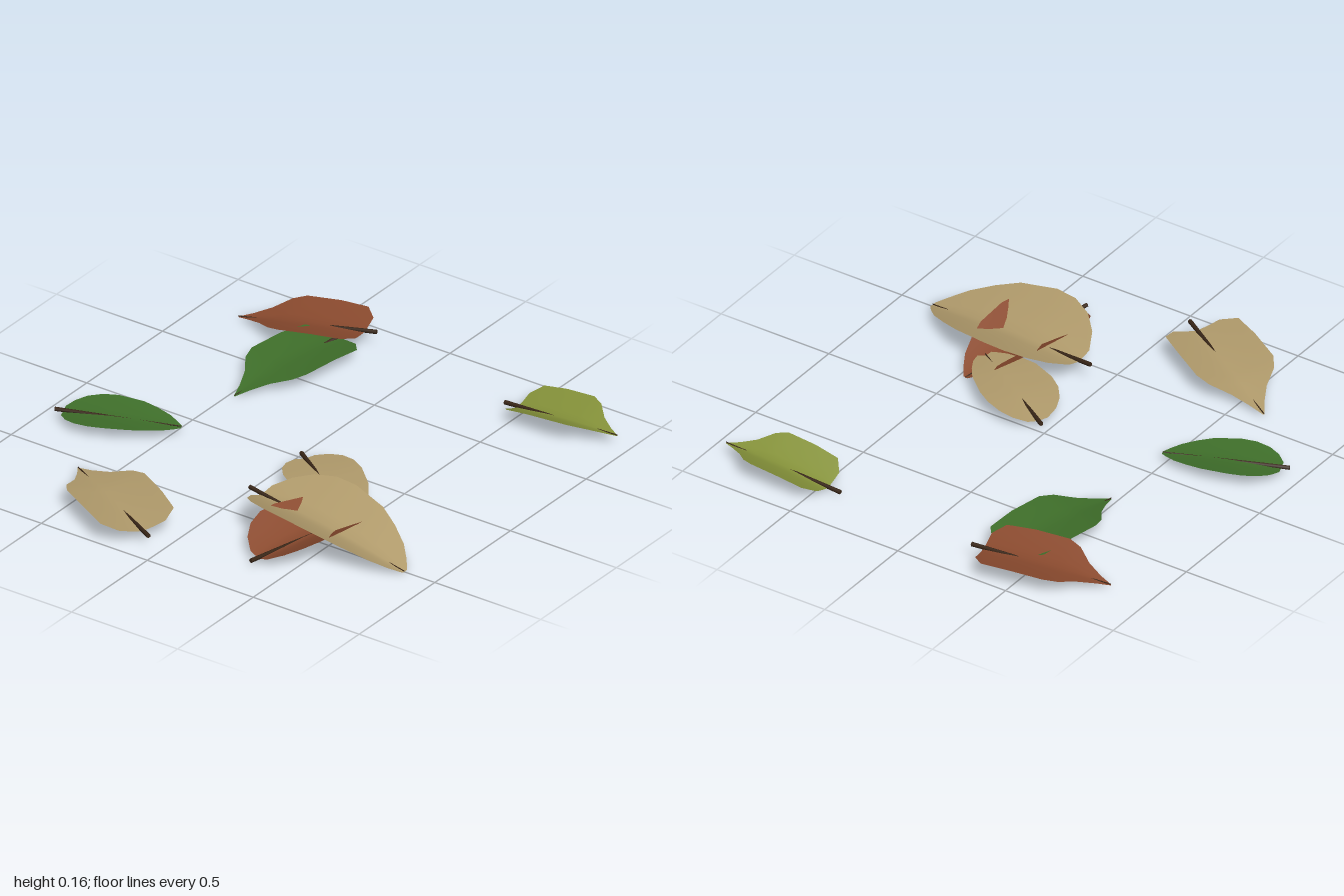
import * as THREE from 'three';

const mat = (name, color) => {
  const m = new THREE.MeshStandardMaterial({ color, side: THREE.DoubleSide });
  m.name = name;
  return m;
};

// Half-width profiles: [position from base to tip, share of the half width]
const ANGULAR = [[0, 0.6], [0.08, 0.95], [0.3, 1], [0.57, 1], [0.67, 0.85], [0.78, 0.46], [0.9, 0.19], [1, 0.02]];
const ROUNDED = [[0, 0.28], [0.06, 0.6], [0.15, 0.84], [0.27, 0.98], [0.4, 1], [0.62, 0.88], [0.75, 0.7], [0.87, 0.48], [0.95, 0.25], [1, 0.07]];

// Blade: arched midrib with two halves lifted toward the edges
function bladeGeometry({ base, tip, half, fold, arch, profile }) {
  const a = new THREE.Vector3(...base), b = new THREE.Vector3(...tip);
  const u = b.clone().sub(a).setY(0).normalize();
  const n = new THREE.Vector3(u.z, 0, -u.x);
  const cols = 8, pos = [], index = [];
  profile.forEach(([t, w], i) => {
    const mid = a.clone().lerp(b, t);
    mid.y += arch * Math.sin(Math.PI * t);
    for (let j = 0; j <= cols; j++) {
      const s = (j / cols) * 2 - 1;
      const p = mid.clone().addScaledVector(n, s * w * half);
      p.y += (s > 0 ? fold[0] : fold[1]) * Math.pow(Math.abs(s) * w, 1.25);
      pos.push(p.x, p.y, p.z);
      if (i < profile.length - 1 && j < cols) {
        const k = i * (cols + 1) + j, m = k + cols + 1;
        index.push(k, m, k + 1, m, m + 1, k + 1);
      }
    }
  });
  const g = new THREE.BufferGeometry();
  g.setAttribute('position', new THREE.Float32BufferAttribute(pos, 3));
  g.setIndex(index);
  g.computeVertexNormals();
  return g;
}

// Stem: straight tapered rod from behind the base to the tip
function stemMesh({ base, tip, stem }, material) {
  const a = new THREE.Vector3(...base), b = new THREE.Vector3(...tip);
  const dir = b.clone().sub(a).normalize();
  a.addScaledVector(dir, -stem);
  a.y += 0.006;
  b.y += 0.004;
  const g = new THREE.CylinderGeometry(0.002, 0.009, a.distanceTo(b), 6);
  const mesh = new THREE.Mesh(g, material);
  mesh.position.copy(a).lerp(b, 0.5);
  mesh.quaternion.setFromUnitVectors(new THREE.Vector3(0, 1, 0), b.sub(a).normalize());
  mesh.name = 'stem';
  return mesh;
}

export function createModel() {
  const tan = mat('dry tan', 0xb39d6d);
  const brown = mat('rust brown', 0x8a4a2e);
  const green = mat('leaf green', 0x3f6f2a);
  const olive = mat('olive green', 0x86933a);
  const bark = mat('dark stem', 0x3a2718);

  const leaves = [
    { name: 'backBrownLeaf', material: brown, profile: ANGULAR, base: [-0.31, 0.065, -0.87], tip: [-0.82, 0.02, -0.75], half: 0.15, fold: [0.035, 0.03], arch: 0.015, stem: 0.05 },
    { name: 'backGreenLeaf', material: green, profile: ANGULAR, base: [-0.38, 0.05, -0.8], tip: [-0.475, 0.015, -0.24], half: 0.15, fold: [0.015, 0.015], arch: 0.03, stem: 0.04 },
    { name: 'sideGreenLeaf', material: green, profile: ROUNDED, base: [-0.915, 0.04, 0.275], tip: [-0.475, 0.038, 0.11], half: 0.13, fold: [0.02, 0.015], arch: 0.01, stem: 0.033 },
    { name: 'oliveLeaf', material: olive, profile: ANGULAR, base: [0.465, 0.02, -0.795], tip: [0.94, 0.05, -0.79], half: 0.13, fold: [0.05, 0.055], arch: 0.012, stem: 0.06 },
    { name: 'smallTanLeaf', material: tan, profile: ROUNDED, base: [0.05, 0.035, 0.03], tip: [0.5, 0.03, 0.32], half: 0.15, fold: [0.03, 0.025], arch: 0.015, stem: 0.035 },
    { name: 'largeTanLeaf', material: tan, profile: ROUNDED, base: [0.12, 0.075, 0.415], tip: [0.86, 0.015, 0.505], half: 0.215, fold: [0.07, 0.105], arch: 0.02, stem: 0.06 },
    { name: 'frontTanLeaf', material: tan, profile: ANGULAR, base: [-0.11, 0.05, 0.88], tip: [-0.63, 0.02, 0.575], half: 0.163, fold: [0.045, 0.045], arch: 0.015, stem: 0.06 },
    { name: 'lowerBrownLeaf', material: brown, profile: ROUNDED, base: [0.36, 0.03, 0.765], tip: [0.47, 0.012, 0.155], half: 0.17, fold: [0.075, 0.075], arch: 0.01, stem: 0.045 },
  ];

  const model = new THREE.Group();
  model.name = 'fallenLeaves';
  for (const leaf of leaves) {
    const group = new THREE.Group();
    group.name = leaf.name;
    const blade = new THREE.Mesh(bladeGeometry(leaf), leaf.material);
    blade.name = 'blade';
    group.add(blade, stemMesh(leaf, bark));
    model.add(group);
  }
  return model;
}
